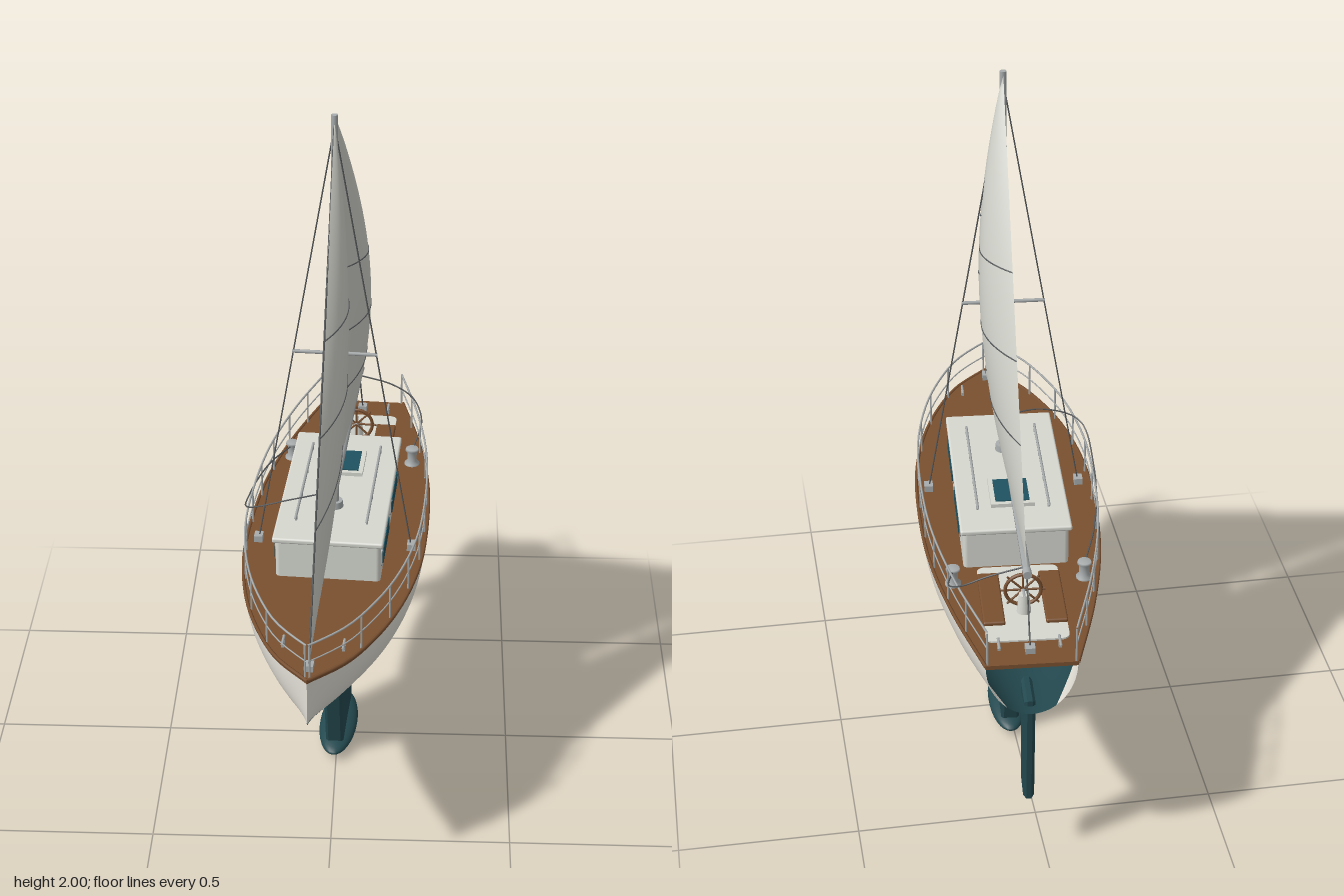
import * as THREE from 'three';
import { ParametricGeometry } from 'three/addons/geometries/ParametricGeometry.js';
import { RoundedBoxGeometry } from 'three/addons/geometries/RoundedBoxGeometry.js';

const V = (x, y, z) => new THREE.Vector3(x, y, z);

function material(name, color, doubleSided = false) {
  const m = new THREE.MeshStandardMaterial({ color });
  m.name = name;
  if (doubleSided) m.side = THREE.DoubleSide;
  return m;
}

export function createModel() {
  const model = new THREE.Group();
  model.name = 'sailboat';
  const boat = new THREE.Group();
  boat.name = 'boat';
  boat.rotation.y = -0.07;
  boat.position.x = 0.0025;
  model.add(boat);

  const white = material('hull white', 0xe4e1d8, true);
  const teal = material('bottom teal', 0x23494f, true);
  const wood = material('deck wood', 0x7a5030, true);
  const cabinPaint = material('cabin paint', 0xd6d8d0);
  const glass = material('window glass', 0x1f5260);
  const canvas = material('sail cloth', 0xcfd0c8, true);
  const metal = material('metal', 0xa8acac);
  const rope = material('rope', 0x55585a);

  const add = (name, geometry, mat, x = 0, y = 0, z = 0, parent = boat) => {
    const mesh = new THREE.Mesh(geometry, mat);
    mesh.name = name;
    mesh.position.set(x, y, z);
    parent.add(mesh);
    return mesh;
  };
  const box = (name, w, h, d, mat, x, y, z) => add(name, new THREE.BoxGeometry(w, h, d), mat, x, y, z);
  const tube = (name, points, radius, mat, straight = false) => {
    const curve = straight && points.length === 2
      ? new THREE.LineCurve3(points[0], points[1]) : new THREE.CatmullRomCurve3(points);
    return add(name, new THREE.TubeGeometry(curve, straight ? 1 : 40, radius, 6), mat);
  };
  const surface = (name, fn, nu, nv, mat) =>
    add(name, new ParametricGeometry((u, v, p) => p.copy(fn(u, v)), nu, nv), mat);

  // Hull stations: half width at the deck, height of the bottom, position along the boat
  const DECK = 0.715, WATERLINE = 0.58;
  const stations = new THREE.CatmullRomCurve3([
    [0.12, 0.555, -0.75], [0.19, 0.49, -0.5], [0.236, 0.45, -0.25], [0.25, 0.435, 0], [0.243, 0.447, 0.2],
    [0.206, 0.487, 0.4], [0.152, 0.527, 0.55], [0.092, 0.555, 0.66], [0, 0.575, 0.757],
  ].map(p => V(...p)));
  const hullPoint = (t, angle) => {
    const s = stations.getPoint(t);
    return V(s.x * Math.cos(angle), DECK - (DECK - s.y) * Math.sin(angle), s.z);
  };
  const waterAngle = t => Math.asin(Math.min(1, (DECK - WATERLINE) / (DECK - stations.getPoint(t).y)));
  for (const side of [1, -1]) {
    surface('topsides', (u, v) => {
      const p = hullPoint(u, v * waterAngle(u));
      p.x *= side;
      return p;
    }, 48, 8, white);
  }
  surface('hullBottom', (u, v) => {
    const a = waterAngle(u);
    return hullPoint(u, a + v * (Math.PI - 2 * a));
  }, 48, 24, teal);

  // Half width of the deck edge at a given z
  const rimAt = z => {
    let lo = 0, hi = 1;
    for (let i = 0; i < 25; i++) {
      const mid = (lo + hi) / 2;
      if (stations.getPoint(mid).z < z) lo = mid; else hi = mid;
    }
    return stations.getPoint(lo).x;
  };

  // Deck and toe rail
  const rim = stations.getPoints(48);
  const outline = [...rim.map(p => new THREE.Vector2(p.x, p.z)),
    ...rim.slice(0, -1).reverse().map(p => new THREE.Vector2(-p.x, p.z))];
  const deckGeo = new THREE.ExtrudeGeometry(new THREE.Shape(outline), { depth: 0.012, bevelEnabled: false });
  add('deck', deckGeo.rotateX(Math.PI / 2), wood, 0, DECK + 0.003, 0);
  for (const s of [1, -1]) {
    tube('toeRail', rim.map(p => V(s * p.x, DECK + 0.002, p.z)), 0.005, wood);
  }

  // Lifelines and stanchions
  for (const s of [1, -1]) {
    const railPoint = (z, y) => V(s * Math.max(0, rimAt(z) - 0.006), y, z);
    const zs = Array.from({ length: 31 }, (_, i) => -0.745 + i * 0.0498);
    for (const y of [0.82, 0.77]) tube('lifeline', zs.map(z => railPoint(z, y)), y > 0.8 ? 0.003 : 0.002, metal);
    for (let i = 0; i <= 10; i++) {
      const z = -0.745 + i * 0.149;
      tube('stanchion', [railPoint(z, DECK), railPoint(z, 0.82)], 0.003, metal, true);
    }
  }

  // Keel, bulb and rudder, drawn as (z, y) side profiles
  const fin = (name, profile, thickness) => {
    const shape = new THREE.Shape(profile.map(([z, y]) => new THREE.Vector2(-z, y)));
    const bevel = 0.008;
    const geo = new THREE.ExtrudeGeometry(shape, {
      depth: thickness - 2 * bevel, bevelEnabled: true, bevelSize: bevel,
      bevelThickness: bevel, bevelOffset: -bevel, bevelSegments: 1,
    });
    geo.translate(0, 0, bevel - thickness / 2).rotateY(Math.PI / 2);
    add(name, geo, teal);
  };
  fin('keel', [[0.2, 0.47], [0.108, 0.04], [-0.128, 0.04], [-0.195, 0.47]], 0.052);
  const bulb = add('keelBulb', new THREE.SphereGeometry(1, 32, 20), teal, 0, 0.031, -0.008);
  bulb.scale.set(0.055, 0.027, 0.16);
  const base = add('bulbBase', new THREE.SphereGeometry(1, 24, 12), teal, 0, 0.015, -0.008);
  base.scale.set(0.03, 0.015, 0.09);
  fin('rudder', [[-0.595, 0.56], [-0.615, 0.228], [-0.685, 0.213], [-0.705, 0.56]], 0.03);

  // Cabin with roof, side windows, hatch and grab rails
  add('cabin', new RoundedBoxGeometry(0.288, 0.13, 0.58, 3, 0.012), cabinPaint, 0, 0.772, -0.016);
  add('cabinRoof', new RoundedBoxGeometry(0.304, 0.016, 0.6, 3, 0.006), cabinPaint, 0, 0.835, -0.016);
  const roundedPlate = (w, h, r, depth) => {
    const s = new THREE.Shape();
    s.absarc(w / 2 - r, h / 2 - r, r, 0, Math.PI / 2);
    s.absarc(r - w / 2, h / 2 - r, r, Math.PI / 2, Math.PI);
    s.absarc(r - w / 2, r - h / 2, r, Math.PI, Math.PI * 1.5);
    s.absarc(w / 2 - r, r - h / 2, r, Math.PI * 1.5, Math.PI * 2);
    return new THREE.ExtrudeGeometry(s, { depth, bevelEnabled: false });
  };
  for (const s of [1, -1]) {
    for (const z of [0.155, -0.113]) {
      add('windowFrame', roundedPlate(0.2, 0.056, 0.012, 0.003), metal, s * 0.144, 0.78, z).rotation.y = s * Math.PI / 2;
      add('window', roundedPlate(0.186, 0.044, 0.01, 0.006), glass, s * 0.144, 0.78, z).rotation.y = s * Math.PI / 2;
    }
    tube('grabRail', [V(s * 0.098, 0.855, -0.23), V(s * 0.098, 0.855, 0.2)], 0.004, metal, true);
    for (let i = 0; i < 4; i++) box('grabRailFoot', 0.006, 0.014, 0.008, metal, s * 0.098, 0.848, -0.21 + i * 0.13);
  }
  box('hatchFrame', 0.12, 0.012, 0.134, cabinPaint, 0, 0.848, -0.14);
  box('hatchGlass', 0.094, 0.006, 0.108, glass, 0, 0.854, -0.14);

  // Cockpit floor and benches
  add('cockpitFloor', roundedPlate(0.22, 0.335, 0.02, 0.008).rotateX(-Math.PI / 2), cabinPaint, 0, DECK, -0.485);
  for (const s of [1, -1]) {
    add('bench', new RoundedBoxGeometry(0.058, 0.014, 0.228, 2, 0.005), wood, s * 0.083, 0.726, -0.47);
  }

  // Steering pedestal and wheel
  add('pedestal', new THREE.CylinderGeometry(0.014, 0.02, 0.06, 16), cabinPaint, 0, 0.748, -0.525);
  tube('wheelShaft', [V(0, 0.773, -0.54), V(0, 0.773, -0.49)], 0.007, metal, true);
  const wheel = new THREE.Group();
  wheel.name = 'steeringWheel';
  wheel.position.set(0, 0.775, -0.5);
  boat.add(wheel);
  add('wheelRim', new THREE.TorusGeometry(0.048, 0.005, 8, 32), wood, 0, 0, 0, wheel);
  for (let i = 0; i < 4; i++) {
    add('wheelSpokes', new THREE.CylinderGeometry(0.003, 0.003, 0.12, 6), wood, 0, 0, 0, wheel).rotation.z = i * Math.PI / 4;
  }

  // Mast, boom, spreaders and shrouds
  const MAST_Z = 0.093;
  add('mast', new THREE.CylinderGeometry(0.009, 0.012, 1.16, 16), metal, 0, 1.42, MAST_Z);
  add('mastFoot', new THREE.CylinderGeometry(0.022, 0.024, 0.02, 16), metal, 0, 0.852, MAST_Z);
  tube('boom', [V(0, 0.903, MAST_Z), V(0, 0.903, -0.612)], 0.011, metal, true);
  add('boomEnd', new THREE.CylinderGeometry(0.012, 0.012, 0.024, 12), metal, 0, 0.903, -0.607).rotation.x = Math.PI / 2;
  tube('spreader', [V(-0.115, 1.32, MAST_Z), V(0.115, 1.32, MAST_Z)], 0.005, metal, true);
  for (const s of [1, -1]) {
    tube('shroud', [V(0, 1.97, MAST_Z), V(s * 0.215, 0.72, MAST_Z)], 0.0022, rope, true);
    box('chainPlate', 0.024, 0.02, 0.03, metal, s * 0.215, 0.727, MAST_Z);
  }
  tube('forestay', [V(0, 1.985, MAST_Z), V(0, 0.72, 0.712)], 0.0025, rope, true);

  // Sails: three corners with a belly to one side, plus seams along the cloth
  const sail = (name, tack, clew, head, belly) => {
    const point = (u, v) => {
      const p = tack.clone().lerp(head, v).lerp(clew.clone().lerp(head, v), u);
      p.x += belly * 4 * u * (1 - u) * Math.pow(Math.max(0, Math.sin(Math.PI * v)), 0.85);
      return p;
    };
    surface(name, point, 20, 36, canvas);
    for (const v of [0.25, 0.42, 0.6]) {
      tube(name + 'Seam', Array.from({ length: 13 }, (_, i) => point(i / 12, v)), 0.002, rope);
    }
  };
  sail('mainsail', V(0, 0.908, 0.083), V(0, 0.908, -0.598), V(0, 1.99, 0.085), 0.078);
  sail('jib', V(0, 0.73, 0.705), V(0.012, 0.92, 0.14), V(0, 1.98, 0.1), 0.05);

  // Sheets
  tube('mainSheet', [V(0, 0.9, -0.59), V(0, 0.8, -0.65), V(0, 0.73, -0.695)], 0.0022, rope);
  tube('boomSheet', [V(0.005, 0.9, -0.575), V(0.1, 0.875, -0.575), V(0.165, 0.84, -0.56), V(0.196, 0.8, -0.5),
    V(0.178, 0.76, -0.378)], 0.0022, rope);
  tube('jibSheet', [V(0.012, 0.92, 0.14), V(-0.12, 0.91, 0.19), V(-0.225, 0.875, 0.18), V(-0.25, 0.82, 0.02),
    V(-0.225, 0.785, -0.22), V(-0.178, 0.76, -0.378)], 0.0022, rope);

  // Winches, cleats and end fittings
  for (const s of [1, -1]) {
    add('winch', new THREE.LatheGeometry([[0.022, 0], [0.022, 0.008], [0.014, 0.016], [0.014, 0.042], [0.02, 0.05],
      [0.018, 0.056], [0, 0.056]].map(p => new THREE.Vector2(...p)), 20), metal, s * 0.178, DECK, -0.378);
    for (const z of [-0.68, 0.61]) {
      box('cleatFoot', 0.008, 0.016, 0.014, metal, s * 0.08, 0.725, z);
      tube('cleatBar', [V(s * 0.08, 0.735, z - 0.024), V(s * 0.08, 0.735, z + 0.024)], 0.004, metal, true);
    }
  }
  box('sheetBlock', 0.026, 0.018, 0.026, metal, 0, 0.726, -0.695);
  box('tackFitting', 0.024, 0.018, 0.03, metal, 0, 0.726, 0.705);
  return model;
}
